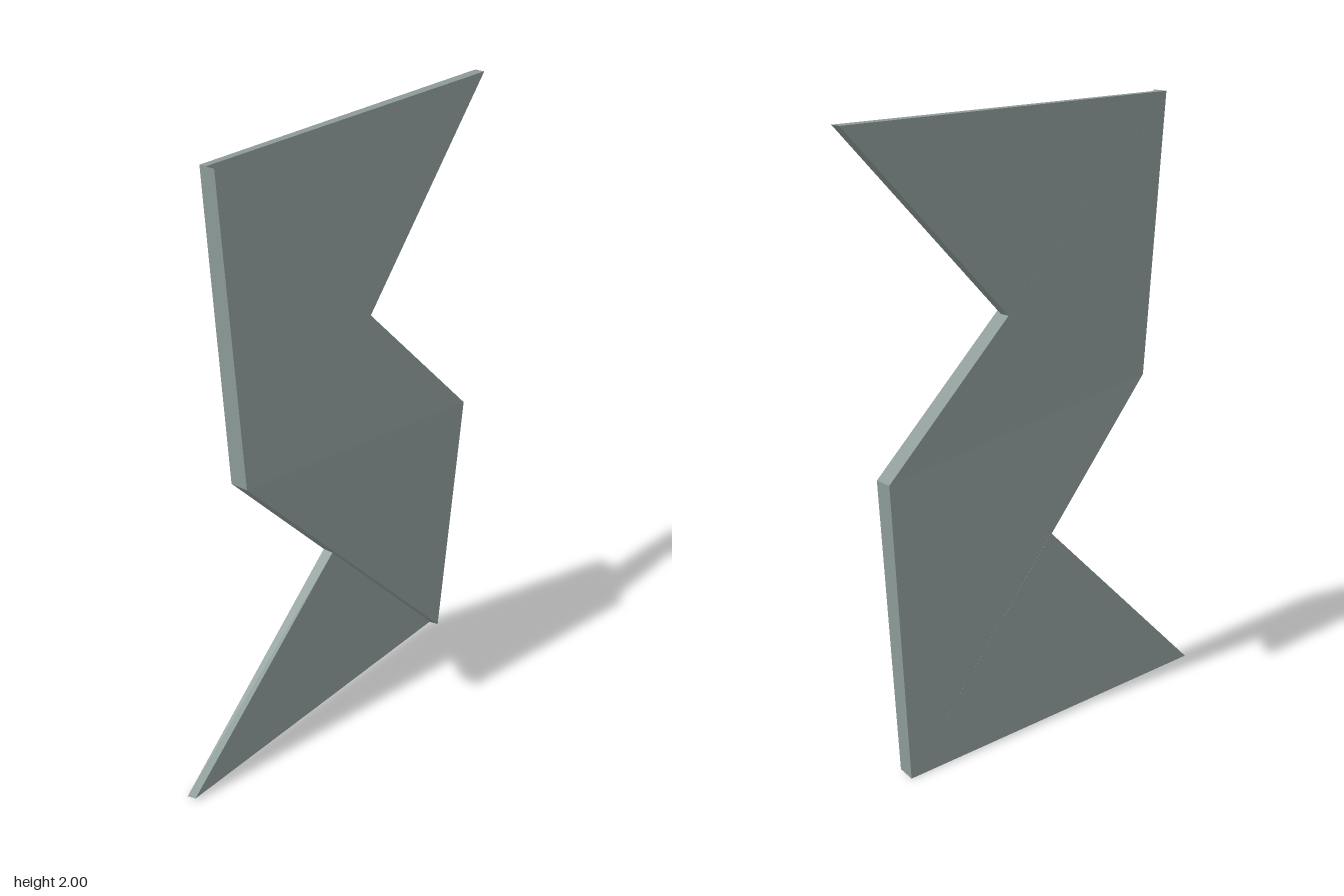
import * as THREE from 'three';

// Triangular plate: front corners counter-clockwise seen from +z, with matching back corners
function plate(name, front, back, material) {
  const p = [];
  const tri = (a, b, c) => p.push(...a, ...b, ...c);
  tri(...front);
  tri(back[0], back[2], back[1]);
  for (let i = 0; i < 3; i++) {
    const j = (i + 1) % 3;
    tri(front[i], back[i], back[j]);
    tri(front[i], back[j], front[j]);
  }
  const g = new THREE.BufferGeometry();
  g.setAttribute('position', new THREE.Float32BufferAttribute(p, 3));
  g.computeVertexNormals();
  const mesh = new THREE.Mesh(g, material);
  mesh.name = name;
  return mesh;
}

export function createModel() {
  const group = new THREE.Group();
  group.name = 'foldedRibbon';
  const greyGreen = new THREE.MeshStandardMaterial({ color: 0x8c9a98 });
  greyGreen.name = 'greyGreen';

  // Half of the thick centre band, from the outer corner to the ridge
  const band = {
    front: [[-0.53, 2, -0.012], [-0.53, 1.07, 0.065], [0.53, 0.94, 0.065]],
    back: [[-0.53, 2, -0.065], [-0.53, 1.07, 0.005], [0.53, 0.94, 0.005]],
  };
  // Thinner end flap, recessed in front and flush behind
  const flap = {
    front: [[-0.53, 2, -0.043], [0.09, 1.38, 0.012], [0.71, 2, -0.03]],
    back: [[-0.53, 2, -0.065], [0.09, 1.38, -0.024], [0.71, 2, -0.065]],
  };

  // The lower half is the upper half turned 180 degrees about z
  const turn = (pts) => pts.map(([x, y, z]) => [-x, 2.01 - y, z]);
  // Back corners at the foot reach the ground
  const ground = (pts) => pts.map(([x, y, z]) => [x, y < 0.02 ? 0 : y, z]);

  for (const [name, part] of [['Band', band], ['Flap', flap]]) {
    group.add(plate('upper' + name, part.front, part.back, greyGreen));
    group.add(plate('lower' + name, turn(part.front), ground(turn(part.back)), greyGreen));
  }
  return group;
}
